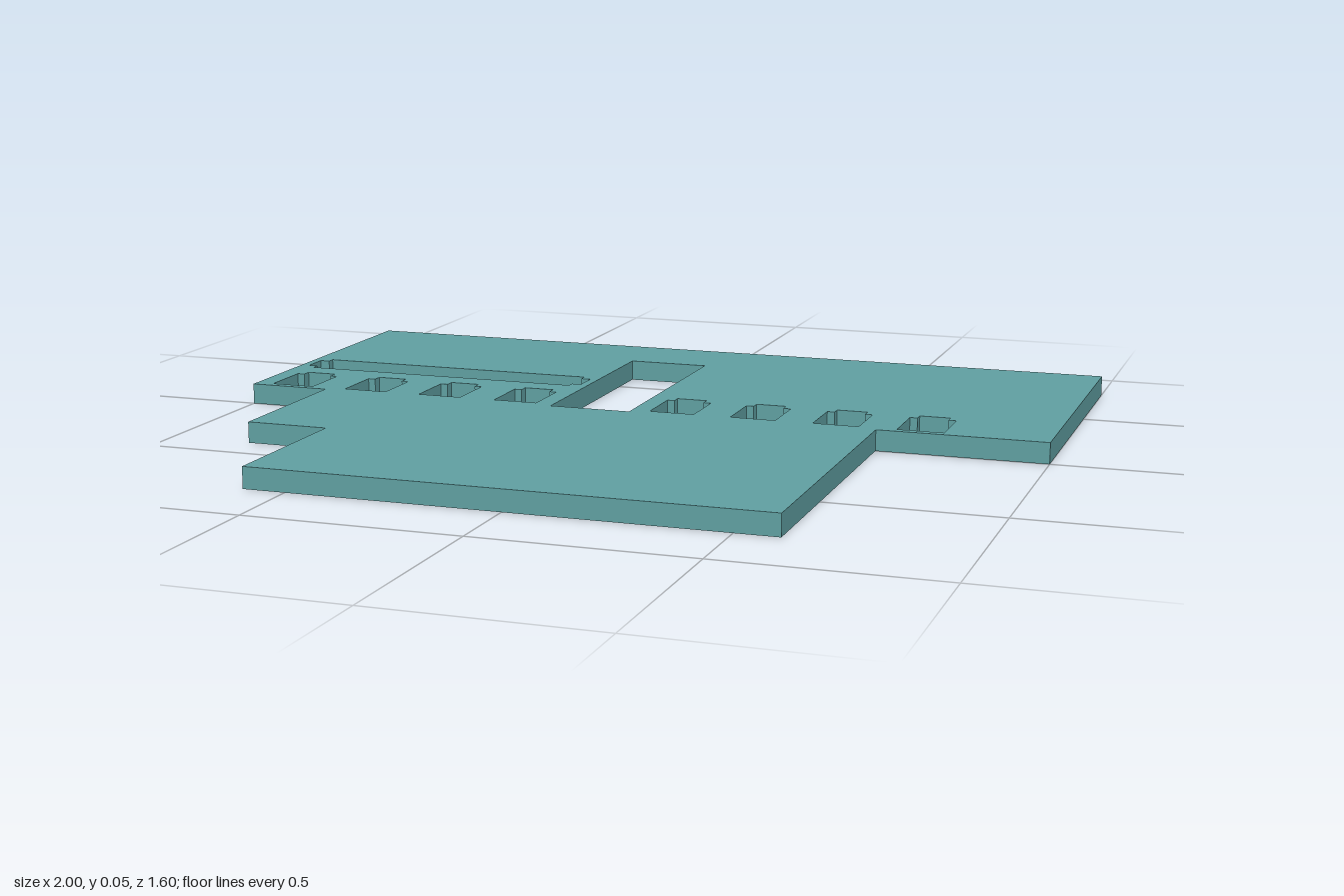
import * as THREE from 'three';

const THICKNESS = 0.05;

// Plan outlines are drawn as [x, z] points
const toPath = (Type, points) => new Type(points.map(([x, z]) => new THREE.Vector2(x, z)));

// Small window: rectangle with a narrower step at the back
const windowHole = (cx) => toPath(THREE.Path, [
  [cx - 0.055, -0.02], [cx + 0.055, -0.02], [cx + 0.055, -0.155], [cx + 0.037, -0.155],
  [cx + 0.037, -0.18], [cx - 0.037, -0.18], [cx - 0.037, -0.155], [cx - 0.055, -0.155],
]);

// Long slot: rectangle with a narrower step at each end
const slotHole = (cx, cz) => toPath(THREE.Path, [
  [-0.355, -0.055], [0.355, -0.055], [0.355, -0.034], [0.379, -0.034],
  [0.379, 0.034], [0.355, 0.034], [0.355, 0.055], [-0.355, 0.055],
  [-0.355, 0.034], [-0.379, 0.034], [-0.379, -0.034], [-0.355, -0.034],
].map(([x, z]) => [cx + x, cz + z]));

export function createModel() {
  const group = new THREE.Group();
  group.name = 'floorPlate';

  // Stepped outer outline
  const outline = toPath(THREE.Shape, [
    [-1, -0.8], [1, -0.8], [1, 0], [0.6, 0], [0.6, 0.8],
    [-0.6, 0.8], [-0.6, 0.4], [-0.8, 0.4], [-0.8, 0], [-1, 0],
  ]);

  // Central opening, long slot and two rows of windows
  outline.holes.push(toPath(THREE.Path, [[-0.2, -0.6], [0, -0.6], [0, 0], [-0.2, 0]]));
  outline.holes.push(slotHole(-0.6, -0.3));
  for (const start of [-0.9, 0.1]) {
    for (let i = 0; i < 4; i++) outline.holes.push(windowHole(start + i * 0.2));
  }

  // Lay the extruded plan flat, standing on y = 0
  const geometry = new THREE.ExtrudeGeometry(outline, { depth: THICKNESS, bevelEnabled: false });
  geometry.rotateX(Math.PI / 2).translate(0, THICKNESS, 0);

  const plate = new THREE.Mesh(geometry, new THREE.MeshStandardMaterial({ color: 0x5f9ea0 }));
  plate.name = 'plate';
  group.add(plate);
  return group;
}
